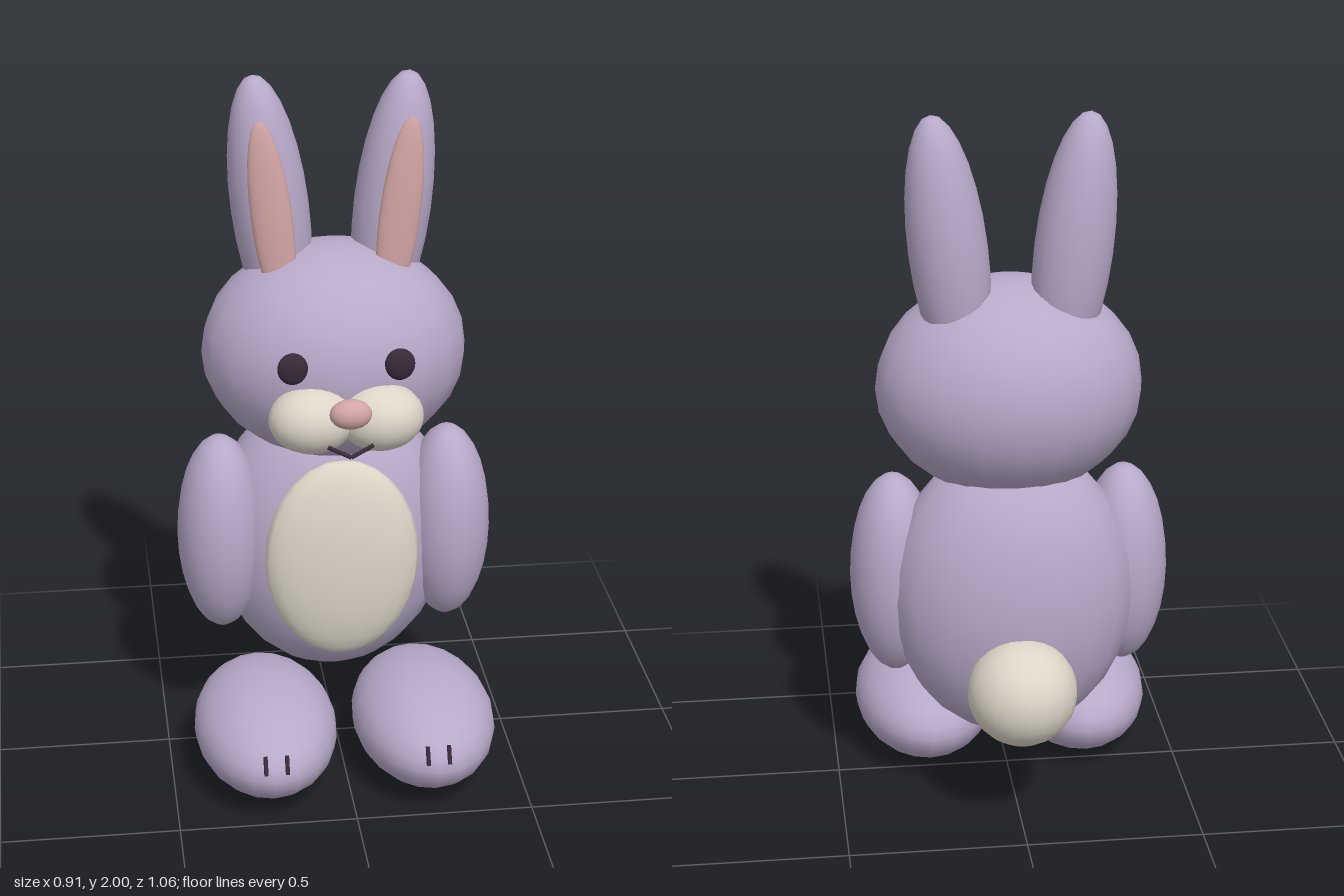
import * as THREE from 'three';

export function createModel() {
  const model = new THREE.Group();
  model.name = 'rabbit';

  const material = (name, color) => {
    const m = new THREE.MeshStandardMaterial({ color });
    m.name = name;
    return m;
  };
  const fur = material('lavender fur', 0xb8a9c9);
  const cream = material('cream fur', 0xddd6c8);
  const pink = material('soft pink', 0xd4a5a5);
  const dark = material('dark plum', 0x3a2a3a);

  const ball = new THREE.SphereGeometry(1, 20, 14);

  // Ellipsoid part: centre, radii and sideways lean
  function blob(name, mat, centre, radii, lean = 0) {
    const mesh = new THREE.Mesh(ball, mat);
    mesh.name = name;
    mesh.position.set(...centre);
    mesh.scale.set(...radii);
    mesh.rotation.z = lean;
    model.add(mesh);
  }

  // Thin stitched line between two points
  function stitch(name, from, to, radius) {
    const a = new THREE.Vector3(...from);
    const b = new THREE.Vector3(...to);
    const dir = b.clone().sub(a);
    const mesh = new THREE.Mesh(new THREE.CylinderGeometry(radius, radius, dir.length(), 8), dark);
    mesh.name = name;
    mesh.position.copy(a).add(b).multiplyScalar(0.5);
    mesh.quaternion.setFromUnitVectors(new THREE.Vector3(0, 1, 0), dir.normalize());
    model.add(mesh);
  }

  // Parts on the centre line
  blob('body', fur, [0, 0.62, -0.12], [0.35, 0.437, 0.25]);
  blob('belly', cream, [0, 0.647, 0.145], [0.22, 0.303, 0.075]);
  blob('head', fur, [0, 1.217, -0.055], [0.375, 0.312, 0.313]);
  blob('nose', pink, [0, 1.172, 0.333], [0.058, 0.042, 0.038]);
  blob('tail', cream, [0, 0.417, -0.376], [0.154, 0.152, 0.154]);

  // Mirrored parts: s = 1 is the left, s = -1 the right
  for (const s of [1, -1]) {
    const side = s > 0 ? 'left' : 'right';
    blob(side + 'Ear', fur, [s * 0.172, 1.622, -0.105], [0.109, 0.38, 0.11], -s * 0.12);
    blob(side + 'InnerEar', pink, [s * 0.177, 1.62, 0.003], [0.057, 0.282, 0.025], -s * 0.12);
    blob(side + 'Eye', dark, [s * 0.147, 1.272, 0.237], [0.042, 0.046, 0.019]);
    blob(side + 'Muzzle', cream, [s * 0.095, 1.12, 0.235], [0.12, 0.095, 0.1]);
    blob(side + 'Arm', fur, [s * 0.33, 0.658, -0.05], [0.126, 0.3, 0.15]);
    blob(side + 'Foot', fur, [s * 0.23, 0.15, 0.198], [0.205, 0.15, 0.33]);

    // Mouth and toe lines
    stitch(side + 'Mouth', [0, 1.052, 0.35], [s * 0.062, 1.077, 0.332], 0.006);
    for (const dx of [-0.03, 0.03]) {
      const x = s * (0.228 + dx);
      stitch(side + 'ToeLine', [x, 0.173, 0.524], [x, 0.22, 0.498], 0.006);
    }
  }
  return model;
}
